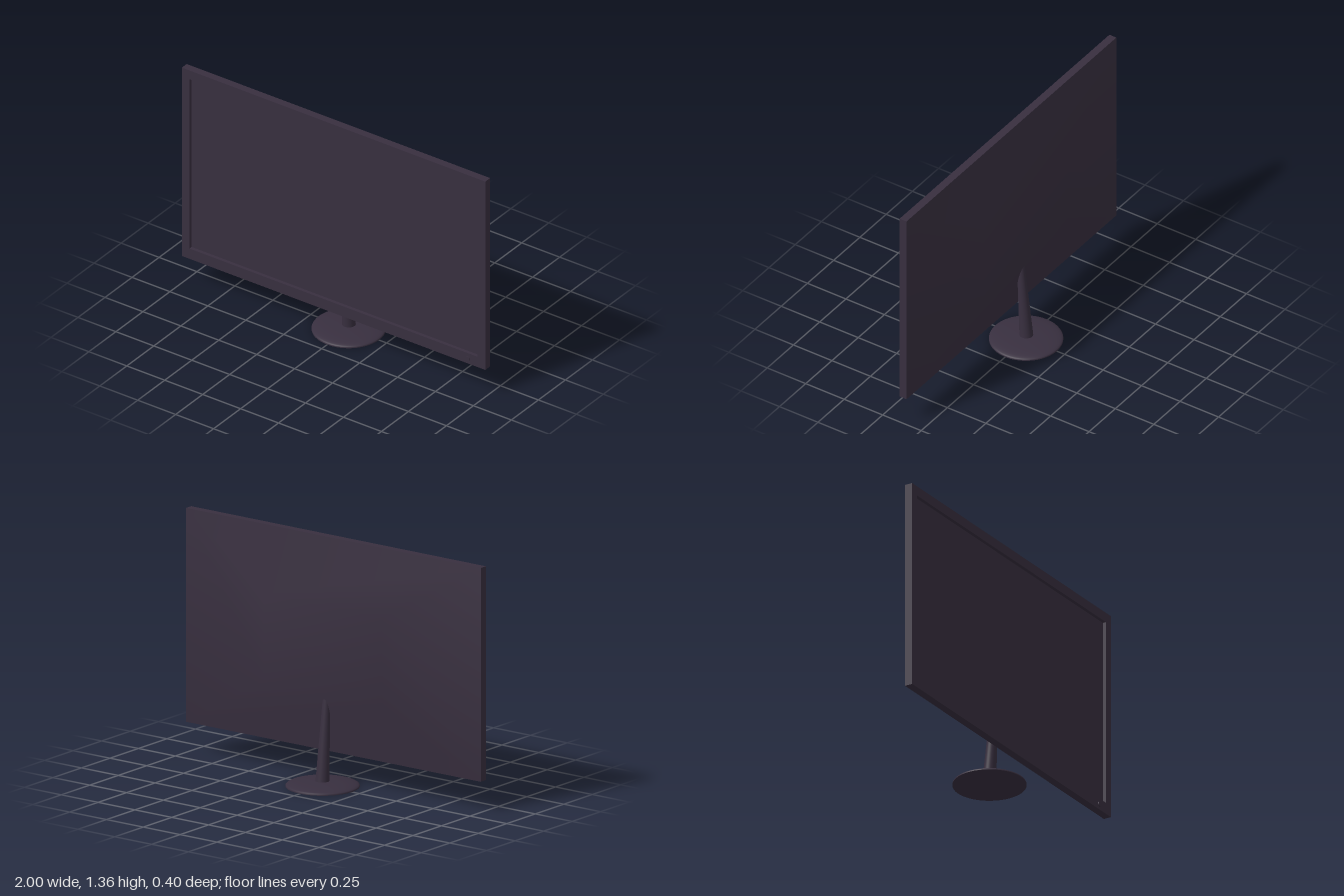
import * as THREE from 'three';

const casing = new THREE.MeshStandardMaterial({ name: 'dark plastic', color: 0x382f3f });

function part(name, geometry, x = 0, y = 0, z = 0) {
  const mesh = new THREE.Mesh(geometry, casing);
  mesh.name = name;
  mesh.position.set(x, y, z);
  return mesh;
}

// Corners of a rectangle, counter-clockwise seen from the front
const corners = (w, y0, y1) => [[-w, y0], [w, y0], [w, y1], [-w, y1]];
const toPoints = (list) => list.map(([x, y]) => new THREE.Vector2(x, y));

// Bevelled back shell: large rectangle tapering to a smaller one, softly shaded
function backShell(outer, inner, zOuter, zInner) {
  const vertices = [
    ...outer.flatMap(([x, y]) => [x, y, zOuter]),
    ...inner.flatMap(([x, y]) => [x, y, zInner]),
  ];
  const index = [4, 6, 5, 4, 7, 6];
  for (let i = 0; i < 4; i++) {
    const j = (i + 1) % 4;
    index.push(i, i + 4, j, j, i + 4, j + 4);
  }
  const geometry = new THREE.BufferGeometry();
  geometry.setAttribute('position', new THREE.Float32BufferAttribute(vertices, 3));
  geometry.setIndex(index);
  geometry.computeVertexNormals();
  return geometry;
}

export function createModel() {
  const model = new THREE.Group();
  model.name = 'monitor';
  const outline = corners(1, 0.17, 1.36);

  // Bezel around the recessed screen
  const frame = new THREE.Shape(toPoints(outline));
  frame.holes.push(new THREE.Path(toPoints(corners(0.95, 0.235, 1.305))));
  model.add(part('bezel', new THREE.ExtrudeGeometry(frame, { depth: 0.045, bevelEnabled: false }), 0, 0, 0.095));
  model.add(part('screen', new THREE.PlaneGeometry(1.9, 1.07), 0, 0.77, 0.12));
  model.add(part('backShell', backShell(outline, corners(0.4, 0.52, 1.0), 0.095, 0.003)));

  // Power button, lower corner of the bezel
  const button = part('powerButton', new THREE.CylinderGeometry(0.015, 0.015, 0.01, 24), 0.885, 0.2, 0.14);
  button.rotation.x = Math.PI / 2;
  model.add(button);

  // Tapered neck, sheared forward into the back shell
  const neck = new THREE.CylinderGeometry(0.018, 0.038, 0.54, 32);
  neck.translate(0, 0.28, 0);
  const p = neck.attributes.position;
  for (let i = 0; i < p.count; i++) p.setZ(i, p.getZ(i) - 0.004 + 0.08 * p.getY(i));
  neck.computeVertexNormals();
  model.add(part('neck', neck));

  // Domed round foot with a flat underside
  const dome = [new THREE.Vector2(0.2, 0), new THREE.Vector2(0.2, 0.005)];
  for (let i = 1; i <= 10; i++) {
    const a = (i / 10) * Math.PI / 2;
    dome.push(new THREE.Vector2(0.2 * Math.cos(a), 0.005 + 0.025 * Math.sin(a)));
  }
  dome[dome.length - 1].x = 0;
  model.add(part('foot', new THREE.LatheGeometry(dome, 48)));
  const underside = part('footUnderside', new THREE.CircleGeometry(0.2, 48));
  underside.rotation.x = Math.PI / 2;
  model.add(underside);

  return model;
}
